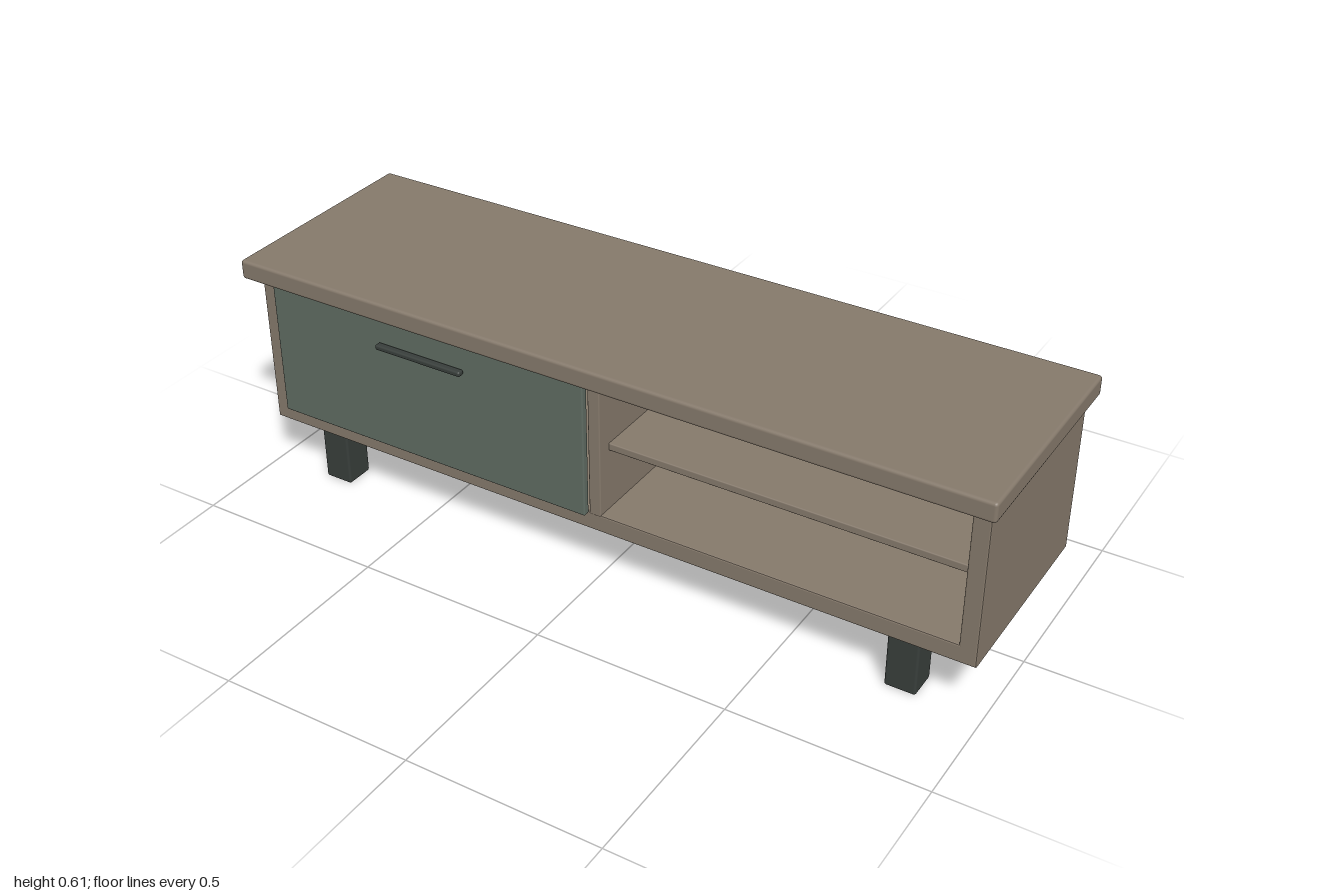
import * as THREE from 'three';
import { RoundedBoxGeometry } from 'three/addons/geometries/RoundedBoxGeometry.js';

const wood = new THREE.MeshStandardMaterial({ color: 0x85796b });
const green = new THREE.MeshStandardMaterial({ color: 0x5f6b62 });
const dark = new THREE.MeshStandardMaterial({ color: 0x383e3b });

// Softly rounded box given by its [min, max] range on each axis
function block(name, material, [x0, x1], [y0, y1], [z0, z1], radius) {
  const geometry = new RoundedBoxGeometry(x1 - x0, y1 - y0, z1 - z0, 2, radius);
  const mesh = new THREE.Mesh(geometry, material);
  mesh.position.set((x0 + x1) / 2, (y0 + y1) / 2, (z0 + z1) / 2);
  mesh.name = name;
  return mesh;
}

// Floor and both side walls as one U-shaped section, open to front and back
function carcass() {
  const outer = 0.976, inner = 0.932, bottom = 0.145, floor = 0.192, top = 0.563;
  const section = new THREE.Shape([
    [-outer, bottom], [outer, bottom], [outer, top], [inner, top],
    [inner, floor], [-inner, floor], [-inner, top], [-outer, top],
  ].map(([x, y]) => new THREE.Vector2(x, y)));
  const bevel = 0.004;
  const geometry = new THREE.ExtrudeGeometry(section, {
    depth: 0.528 - 2 * bevel, bevelSize: bevel, bevelThickness: bevel,
    bevelOffset: -bevel, bevelSegments: 2,
  });
  geometry.translate(0, 0, -0.279 + bevel);
  const mesh = new THREE.Mesh(geometry, wood);
  mesh.name = 'carcass';
  return mesh;
}

export function createModel() {
  const group = new THREE.Group();
  group.name = 'lowCabinet';

  group.add(
    block('tabletop', wood, [-1, 1], [0.561, 0.612], [-0.295, 0.295], 0.008),
    carcass(),
    block('divider', wood, [-0.016, 0.016], [0.188, 0.563], [-0.279, 0.249], 0.003),
    block('shelf', wood, [0.014, 0.925], [0.355, 0.375], [-0.262, 0.21], 0.003),
    // Closed compartment front with its bar handle
    block('door', green, [-0.928, -0.017], [0.19, 0.551], [0.249, 0.268], 0.004),
    block('handle', dark, [-0.597, -0.347], [0.479, 0.493], [0.273, 0.292], 0.005),
  );

  // Back panels, slightly recessed on either side of the divider
  for (const [name, range] of [['rightBackPanel', [-0.931, -0.014]], ['leftBackPanel', [0.014, 0.931]]]) {
    group.add(block(name, green, range, [0.19, 0.551], [-0.272, -0.26], 0.002));
  }

  // Four square legs
  for (const sx of [-1, 1]) {
    for (const sz of [-1, 1]) {
      const name = (sz > 0 ? 'front' : 'back') + (sx > 0 ? 'Left' : 'Right') + 'Leg';
      const x = 0.801 * sx, z = 0.201 * sz, half = 0.039;
      group.add(block(name, dark, [x - half, x + half], [0, 0.145], [z - half, z + half], 0.006));
    }
  }
  return group;
}
